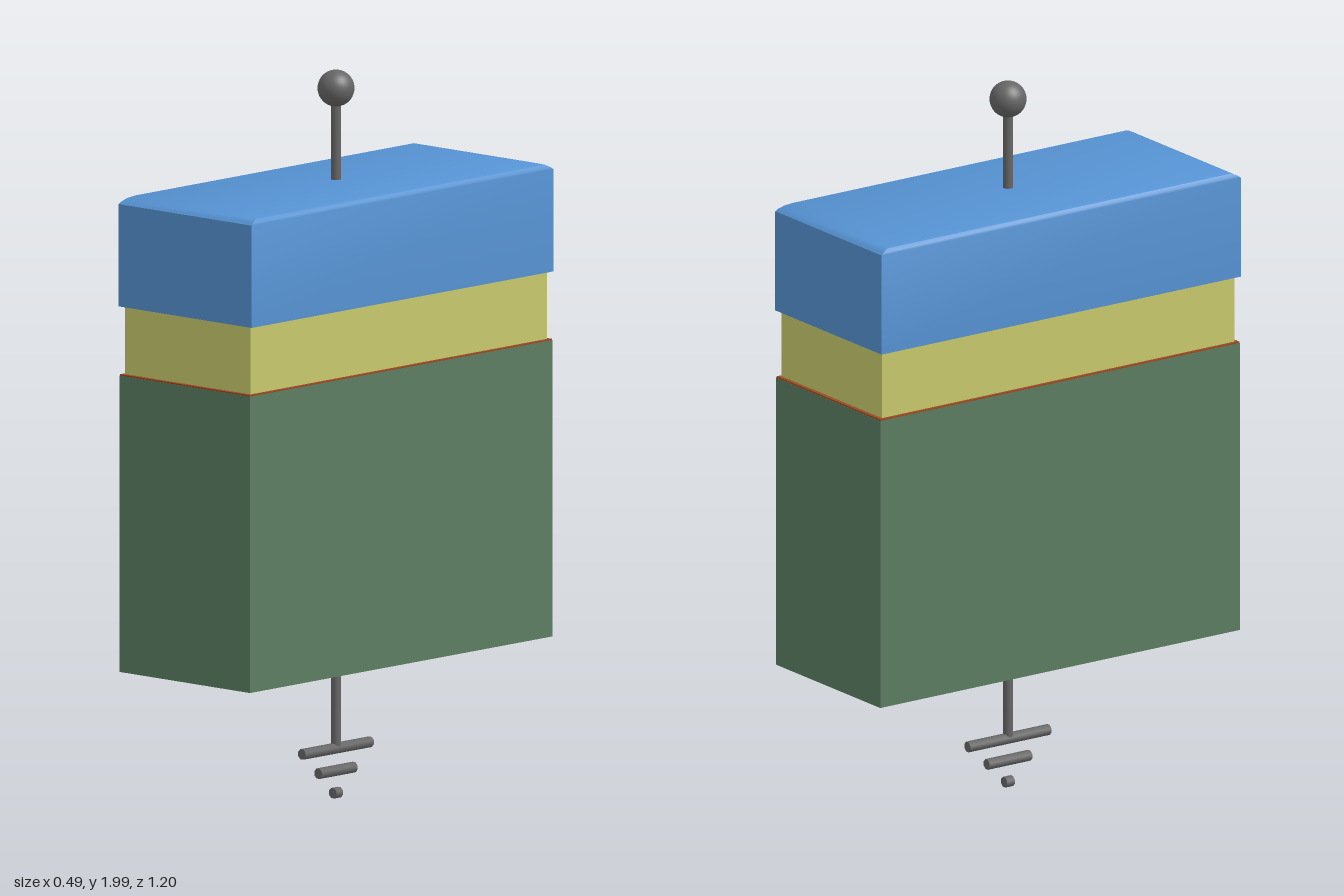
import * as THREE from 'three';
import { toCreasedNormals } from 'three/addons/utils/BufferGeometryUtils.js';

const mat = (color) => new THREE.MeshStandardMaterial({ color });

export function createModel() {
  const group = new THREE.Group();
  const blue = mat(0x5592d2), yellow = mat(0xc8c96c), green = mat(0x5c7d62);
  const rust = mat(0x9a4a22), metal = mat(0x666666);

  const add = (name, geometry, material, y, parent = group) => {
    const mesh = new THREE.Mesh(geometry, material);
    mesh.name = name;
    mesh.position.y = y;
    parent.add(mesh);
    return mesh;
  };
  // Box given by its full width, depth and bottom/top heights
  const slab = (name, w, d, y0, y1, material) =>
    add(name, new THREE.BoxGeometry(w, y1 - y0, d), material, (y0 + y1) / 2);

  // Lower block, thin layer on its top, and middle block
  slab('lowerBlock', 0.48, 1.196, 0.4, 1.211, green);
  slab('thinLayer', 0.478, 1.194, 1.211, 1.215, rust);
  slab('middleBlock', 0.462, 1.172, 1.215, 1.4, yellow);

  // Upper block: box whose top rows are drawn in to a softened, wider-at-the-ends bevel
  const cap = new THREE.BoxGeometry(0.49, 1, 1.194, 1, 4, 1);
  const rows = [[1.4, 0, 0], [1.68, 0, 0], [1.686, 0.002, 0.008], [1.694, 0.008, 0.024], [1.7, 0.018, 0.045]];
  const p = cap.attributes.position;
  for (let i = 0; i < p.count; i++) {
    const [y, inX, inZ] = rows[Math.round((p.getY(i) + 0.5) * 4)];
    p.setXYZ(i, p.getX(i) - Math.sign(p.getX(i)) * inX, y, p.getZ(i) - Math.sign(p.getZ(i)) * inZ);
  }
  add('upperBlock', toCreasedNormals(cap, 0.75), blue, 0);

  // Rods and the round terminal
  const rod = (name, y0, y1) =>
    add(name, new THREE.CylinderGeometry(0.0135, 0.0135, y1 - y0, 16), metal, (y0 + y1) / 2);
  rod('topRod', 1.69, 1.92);
  rod('bottomRod', 0.14, 0.41);
  add('topBall', new THREE.SphereGeometry(0.05, 32, 20), metal, 1.95);

  // Three shrinking ground bars running front to back
  const bars = new THREE.Group();
  bars.name = 'groundBars';
  [[0.143, 0.27], [0.082, 0.142], [0.021, 0.026]].forEach(([y, length], i) => {
    const bar = new THREE.CylinderGeometry(0.015, 0.015, length, 8);
    bar.rotateY(Math.PI / 8).rotateX(Math.PI / 2);
    add('groundBar' + (i + 1), bar, metal, y, bars);
  });
  group.add(bars);

  // Stand the lowest bar on the ground
  group.position.y = -new THREE.Box3().setFromObject(group).min.y;
  return group;
}
